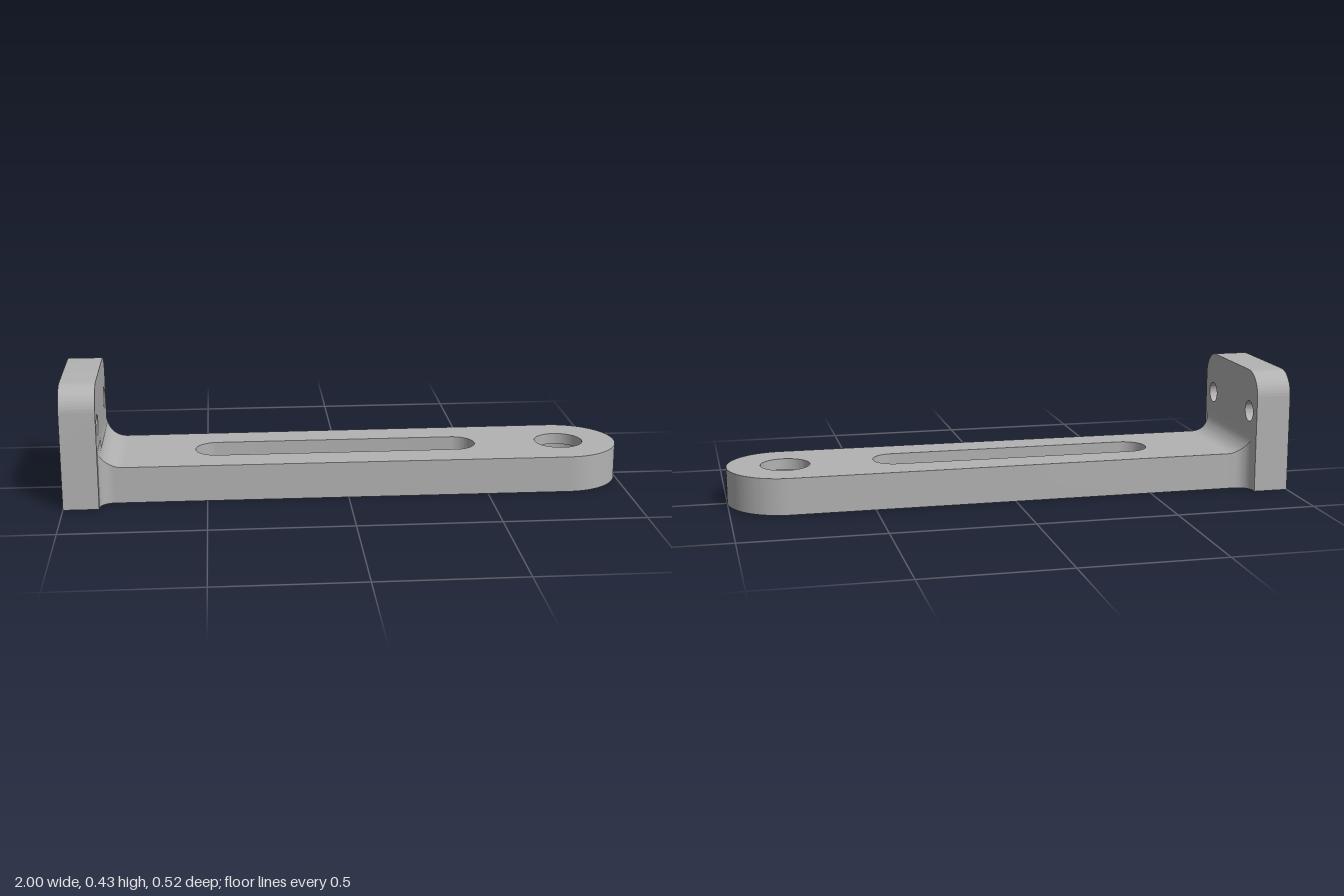
import * as THREE from 'three';
import { toCreasedNormals } from 'three/addons/utils/BufferGeometryUtils.js';

const PLATE_X = -0.875, FLARE_X = -0.795, BAR_H = 0.13;
const BAR_W0 = 0.197, BAR_W1 = 0.205, EYE_X = 0.795;
const TOP_R = 0.08, SIDE_R = 0.05;

const circle = (x, y, r) => new THREE.Path().absarc(x, y, r, 0, Math.PI * 2, true);

function extrude(shape, depth) {
  return new THREE.ExtrudeGeometry(shape, { depth, bevelEnabled: false, curveSegments: 32 });
}

// Flat arm with a rounded end, a long slot and a wide bore
function barGeometry() {
  const s = new THREE.Shape();
  s.moveTo(FLARE_X, -BAR_W0);
  s.lineTo(EYE_X, -BAR_W1);
  s.absarc(EYE_X, 0, BAR_W1, -Math.PI / 2, Math.PI / 2, false);
  s.lineTo(FLARE_X, BAR_W0);
  s.closePath();
  const r = 0.078, a = -0.54 + r, b = 0.48 - r;
  const slot = new THREE.Path();
  slot.moveTo(a, -r);
  slot.lineTo(b, -r);
  slot.absarc(b, 0, r, -Math.PI / 2, Math.PI / 2, false);
  slot.lineTo(a, r);
  slot.absarc(a, 0, r, Math.PI / 2, Math.PI * 1.5, false);
  s.holes.push(slot, circle(0.793, 0, 0.11));
  return extrude(s, BAR_H).rotateX(-Math.PI / 2);
}

// Lip that narrows the top of the bore
function lipGeometry() {
  const p = [[0.11, BAR_H], [0.0875, BAR_H], [0.0875, 0.09], [0.11, 0.09]];
  return new THREE.LatheGeometry(p.map(([x, y]) => new THREE.Vector2(x, y)), 64).translate(0.793, 0, 0);
}

// Upright plate with rounded top corners and two screw holes
function plateGeometry() {
  const w = 0.26, h = 0.434, r = 0.088;
  const s = new THREE.Shape();
  s.moveTo(-w, 0);
  s.lineTo(w, 0);
  s.lineTo(w, h - r);
  s.absarc(w - r, h - r, r, 0, Math.PI / 2, false);
  s.lineTo(-w + r, h);
  s.absarc(-w + r, h - r, r, Math.PI / 2, Math.PI, false);
  s.closePath();
  for (const side of [-1, 1]) s.holes.push(circle(side * 0.184, 0.283, 0.0375));
  return extrude(s, PLATE_X + 1).rotateY(Math.PI / 2).translate(-1, 0, 0);
}

// Fillet joining arm and plate: rectangular sections that grow towards the plate
function flareGeometry() {
  const steps = 20, sections = [];
  for (let i = 0; i <= steps; i++) {
    const a = (i / steps) * Math.PI / 2;
    const x = FLARE_X - TOP_R * Math.sin(a);
    const y = BAR_H + TOP_R * (1 - Math.cos(a));
    const d = Math.min(SIDE_R, Math.max(0, PLATE_X + SIDE_R - x));
    const w = BAR_W0 + SIDE_R - Math.sqrt(Math.max(0, SIDE_R * SIDE_R - d * d));
    sections.push([[x, 0, -w], [x, 0, w], [x, y, w], [x, y, -w]]);
  }
  const pos = [];
  for (let i = 0; i < steps; i++) {
    const s0 = sections[i], s1 = sections[i + 1];
    for (let k = 0; k < 4; k++) {
      const n = (k + 1) % 4;
      pos.push(...s0[k], ...s0[n], ...s1[n], ...s0[k], ...s1[n], ...s1[k]);
    }
  }
  const g = new THREE.BufferGeometry();
  g.setAttribute('position', new THREE.Float32BufferAttribute(pos, 3));
  return g;
}

export function createModel() {
  const group = new THREE.Group();
  group.name = 'bracket';
  const metal = new THREE.MeshStandardMaterial({ color: 0xb3b3b3 });
  metal.name = 'grey metal';

  const parts = {
    slottedArm: barGeometry(),
    boreLip: lipGeometry(),
    mountingPlate: plateGeometry(),
    plateFillet: flareGeometry(),
  };
  for (const [name, geometry] of Object.entries(parts)) {
    const mesh = new THREE.Mesh(toCreasedNormals(geometry, 0.5), metal);
    mesh.name = name;
    group.add(mesh);
  }
  return group;
}
